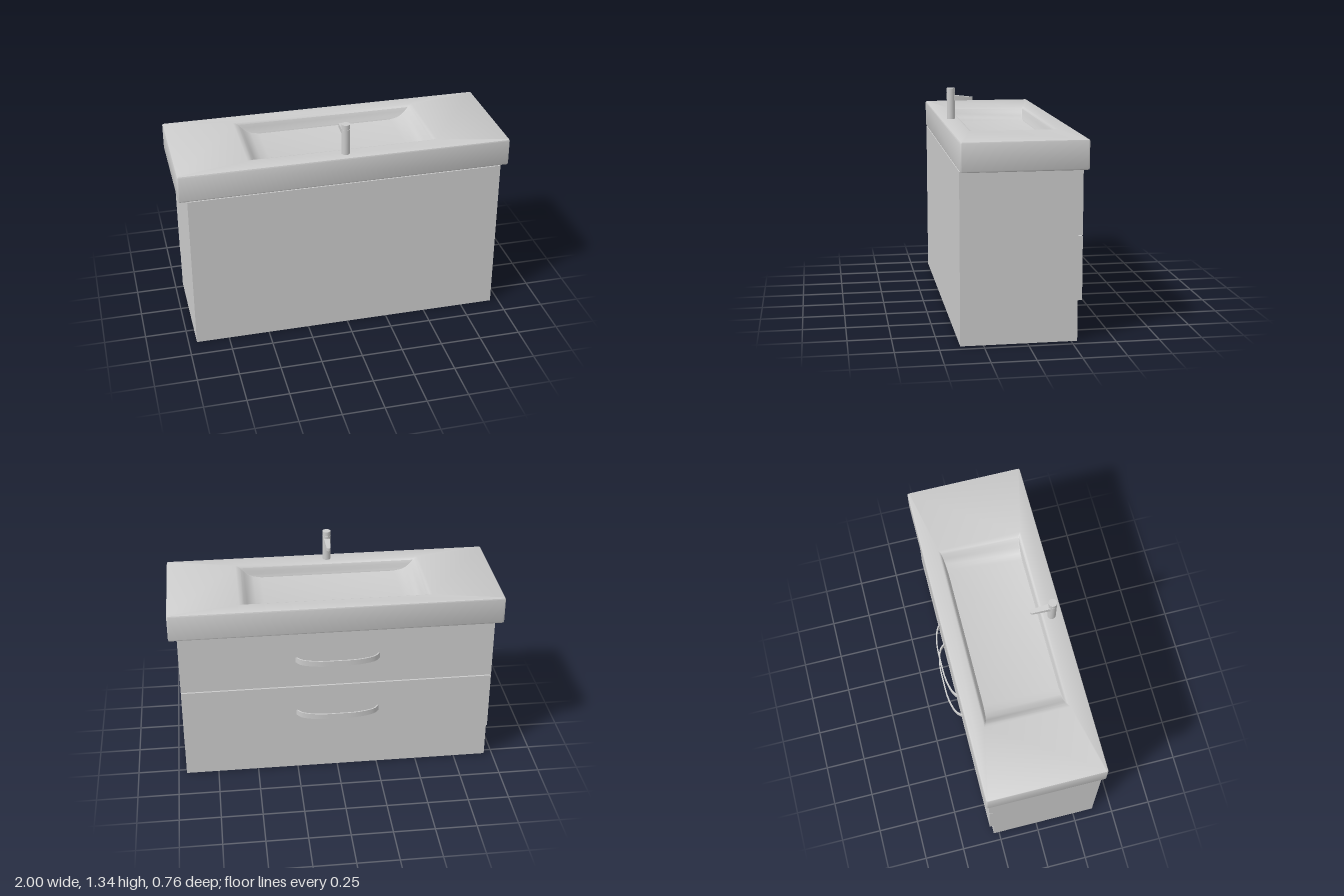
import * as THREE from 'three';
import { toCreasedNormals } from 'three/addons/utils/BufferGeometryUtils.js';

const material = new THREE.MeshStandardMaterial({ color: 0xcccccc });

function addMesh(parent, name, geometry, x = 0, y = 0, z = 0) {
  const mesh = new THREE.Mesh(geometry, material);
  mesh.name = name;
  mesh.position.set(x, y, z);
  parent.add(mesh);
  return mesh;
}

// Box given by its limits in y and z, centred on x
function addBox(parent, name, width, y0, y1, z0, z1) {
  return addMesh(parent, name, new THREE.BoxGeometry(width, y1 - y0, z1 - z0), 0, (y0 + y1) / 2, (z0 + z1) / 2);
}

// Rounded rectangle at height y, running from +x towards +z
function rectRing([hx, z0, z1, y, r]) {
  const corners = [[hx - r, z1 - r], [r - hx, z1 - r], [r - hx, z0 + r], [hx - r, z0 + r]];
  const points = [];
  corners.forEach(([cx, cz], i) => {
    for (let k = 0; k <= 4; k++) {
      const a = (i + k / 4) * Math.PI / 2;
      points.push([cx + r * Math.cos(a), y, cz + r * Math.sin(a)]);
    }
  });
  return points;
}

// Skin through a stack of rectangular sections
function loftRings(sections) {
  const rings = sections.map(rectRing);
  const positions = [];
  for (let i = 0; i < rings.length - 1; i++) {
    const a = rings[i], b = rings[i + 1];
    for (let j = 0; j < a.length; j++) {
      const k = (j + 1) % a.length;
      positions.push(...a[j], ...b[j], ...b[k], ...a[j], ...b[k], ...a[k]);
    }
  }
  const geometry = new THREE.BufferGeometry();
  geometry.setAttribute('position', new THREE.Float32BufferAttribute(positions, 3));
  return toCreasedNormals(geometry, 0.6);
}

// Slab from the underside, over the rounded rim and down into the basin
function countertopGeometry() {
  return loftRings([
    [0, 0.02, 0.02, 0.985, 0],
    [0.99, -0.325, 0.37, 0.985, 0.004],
    [0.997, -0.332, 0.377, 0.988, 0.008],
    [1, -0.335, 0.38, 0.995, 0.01],
    [1, -0.335, 0.38, 1.145, 0.01],
    [0.997, -0.332, 0.377, 1.152, 0.008],
    [0.99, -0.325, 0.37, 1.155, 0.004],
    [0.575, -0.24, 0.275, 1.155, 0.004],
    [0.56, -0.232, 0.264, 1.152, 0.004],
    [0.545, -0.225, 0.256, 1.143, 0.004],
    [0.525, -0.22, 0.252, 1.122, 0.004],
    [0.5, -0.215, 0.25, 1.1, 0.004],
    [0.47, -0.211, 0.248, 1.086, 0.004],
    [0.42, -0.208, 0.246, 1.078, 0.004],
    [0, 0.02, 0.02, 1.075, 0],
  ]);
}

// Bowed strip handle, drawn in plan and extruded upwards
function handleGeometry(height) {
  const bow = (half, reach) => new THREE.CatmullRomCurve3([
    [-half, 0], [-half * 0.88, reach * 0.5], [-half * 0.5, reach * 0.93], [0, reach],
    [half * 0.5, reach * 0.93], [half * 0.88, reach * 0.5], [half, 0],
  ].map(([x, s]) => new THREE.Vector3(x, s, 0))).getPoints(32).map((p) => new THREE.Vector2(p.x, p.y));
  const outline = [...bow(0.255, 0.07), ...bow(0.245, 0.062).reverse()];
  const geometry = new THREE.ExtrudeGeometry(new THREE.Shape(outline), { depth: height, bevelEnabled: false });
  geometry.rotateX(-Math.PI / 2);
  return toCreasedNormals(geometry, 0.6);
}

// Spout narrowing towards a rounded tip, its top sloping down
function spoutGeometry() {
  const shape = new THREE.Shape();
  shape.moveTo(-0.019, 0);
  shape.lineTo(0.019, 0);
  shape.lineTo(0.013, 0.122);
  shape.absarc(0, 0.122, 0.013, 0, Math.PI, false);
  shape.closePath();
  const geometry = new THREE.ExtrudeGeometry(shape, { depth: 0.034, bevelEnabled: false, curveSegments: 10 });
  geometry.rotateX(-Math.PI / 2);
  const p = geometry.attributes.position;
  for (let i = 0; i < p.count; i++) {
    if (p.getY(i) > 0.01) p.setY(i, 0.034 + 0.11 * p.getZ(i));
  }
  return toCreasedNormals(geometry, 0.6);
}

export function createModel() {
  const model = new THREE.Group();
  model.name = 'washbasinCabinet';

  // Cabinet, with the base set back below the drawers
  addBox(model, 'cabinetBody', 1.9, 0, 0.985, -0.285, 0.38);

  // Two drawer fronts with handles
  [[0.237, 0.606], [0.613, 0.98]].forEach(([y0, y1], i) => {
    const drawer = new THREE.Group();
    drawer.name = i ? 'upperDrawer' : 'lowerDrawer';
    addBox(drawer, 'drawerFront', 1.9, y0, y1, -0.31, -0.284);
    addMesh(drawer, 'drawerHandle', handleGeometry(0.035), 0, y0 + 0.169, -0.31);
    model.add(drawer);
  });

  // Countertop with sunken basin
  addMesh(model, 'countertopBasin', countertopGeometry());

  // Tap: column, narrow seam, turning cap and spout
  const tap = new THREE.Group();
  tap.name = 'tap';
  tap.position.set(0, 1.154, 0.315);
  [['tapColumn', 0.025, 0, 0.16], ['tapSeam', 0.023, 0.16, 0.164], ['tapCap', 0.025, 0.164, 0.19]].forEach(([name, r, y0, y1]) => {
    addMesh(tap, name, new THREE.CylinderGeometry(r, r, y1 - y0, 32), 0, (y0 + y1) / 2, 0);
  });
  addMesh(tap, 'tapSpout', spoutGeometry(), 0, 0.114, 0);
  model.add(tap);

  return model;
}
